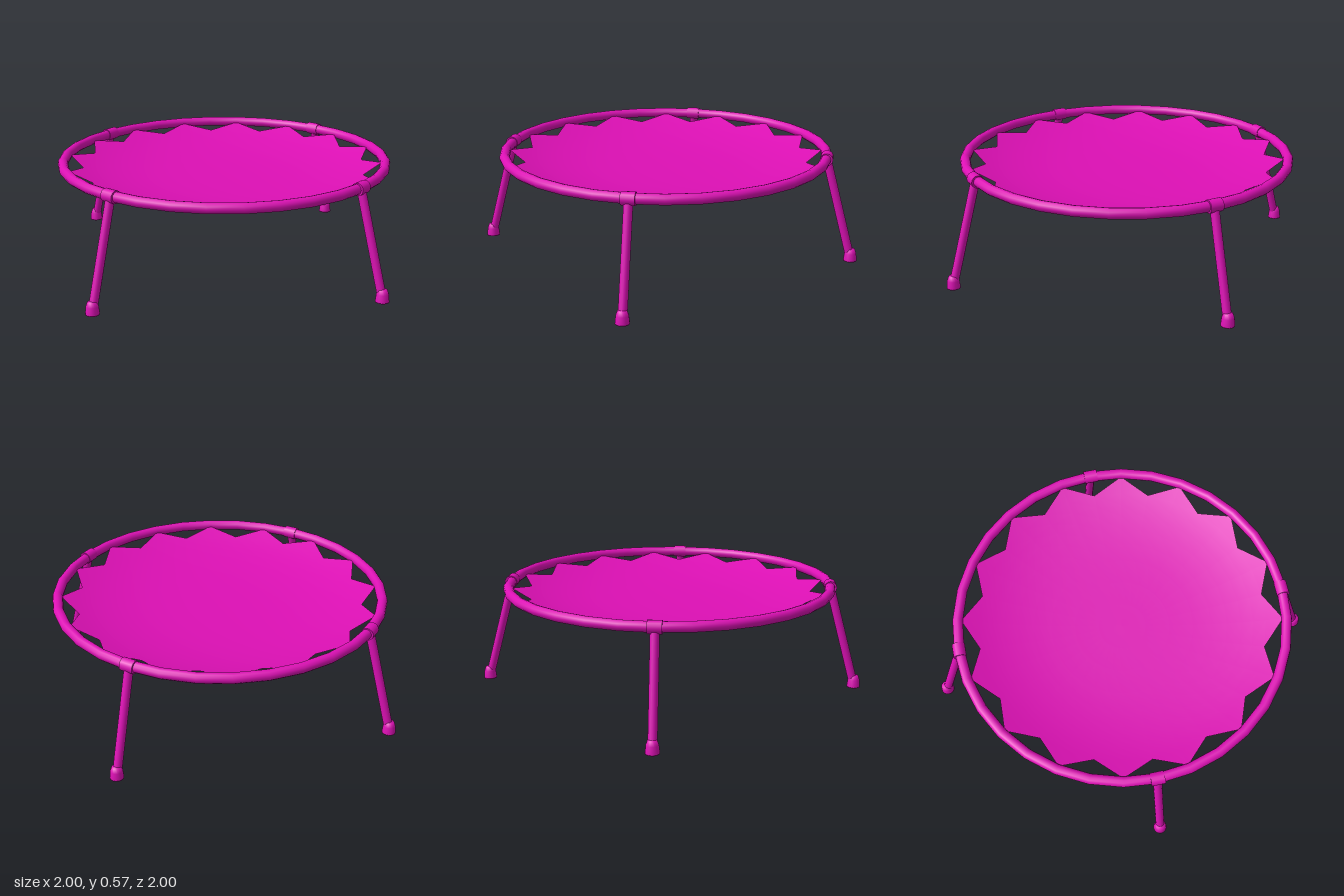
import * as THREE from 'three';

const RING_R = 0.823, RING_Y = 0.537, TIP_R = 0.806, VALLEY_R = 0.722;
const material = new THREE.MeshStandardMaterial({ color: 0xdd10b5 });
const bedMaterial = new THREE.MeshStandardMaterial({ color: 0xdd10b5, side: THREE.DoubleSide });

function part(name, geometry, mat = material) {
  const mesh = new THREE.Mesh(geometry, mat);
  mesh.name = name;
  return mesh;
}

// Sagging bed: concentric rings, the outermost one zigzags between tips and valleys
function bedGeometry() {
  const segs = 32, radii = [0.12, 0.24, 0.36, 0.45, 0.53, 0.6, 0.66, VALLEY_R, TIP_R];
  const height = r => 0.44 + 0.095 * Math.pow(r / TIP_R, 3);
  const pos = [0, height(0), 0], index = [];
  radii.forEach((radius, k) => {
    for (let i = 0; i < segs; i++) {
      const a = i / segs * Math.PI * 2;
      const r = i % 2 ? radius : Math.min(radius, VALLEY_R);
      pos.push(r * Math.sin(a), height(r), r * Math.cos(a));
      const j = (i + 1) % segs, o = 1 + k * segs, p = o - segs;
      if (k === 0) index.push(0, o + i, o + j);
      else if (k < radii.length - 1) index.push(p + i, o + i, o + j, p + i, o + j, p + j);
      // one triangle per half tip
      else if (i % 2) index.push(p + i, o + i, p + j);
      else index.push(p + i, o + j, p + j);
    }
  });
  const g = new THREE.BufferGeometry();
  g.setAttribute('position', new THREE.Float32BufferAttribute(pos, 3));
  g.setIndex(index);
  g.computeVertexNormals();
  return g;
}

// One splayed leg with its ring sleeve and rubber foot, built towards +x
function makeLeg() {
  const leg = new THREE.Group();
  leg.name = 'leg';
  const top = new THREE.Vector3(RING_R, RING_Y, 0), bottom = new THREE.Vector3(0.963, 0.025, 0);
  const dir = top.clone().sub(bottom);

  const tube = part('legTube', new THREE.CylinderGeometry(0.022, 0.022, dir.length(), 16));
  tube.position.copy(top).add(bottom).multiplyScalar(0.5);
  tube.quaternion.setFromUnitVectors(new THREE.Vector3(0, 1, 0), dir.clone().normalize());

  const sleeve = part('ringSleeve', new THREE.CylinderGeometry(0.032, 0.032, 0.068, 16));
  sleeve.rotation.x = Math.PI / 2;
  sleeve.position.copy(top);

  const profile = [[0, 0], [0.034, 0], [0.034, 0.004], [0.03, 0.04], [0.022, 0.062], [0, 0.066]];
  const foot = part('foot', new THREE.LatheGeometry(profile.map(p => new THREE.Vector2(...p)), 16));
  foot.position.x = 0.966;

  leg.add(tube, sleeve, foot);
  return leg;
}

export function createModel() {
  const model = new THREE.Group();
  model.name = 'trampoline';

  // Round frame
  const frame = part('frameRing', new THREE.TorusGeometry(RING_R, 0.026, 12, 32));
  frame.rotation.x = Math.PI / 2;
  frame.position.y = RING_Y;
  model.add(frame, part('bed', bedGeometry(), bedMaterial));

  // Four legs
  for (let i = 0; i < 4; i++) {
    const leg = makeLeg();
    leg.rotation.y = i * Math.PI / 2;
    model.add(leg);
  }
  return model;
}
